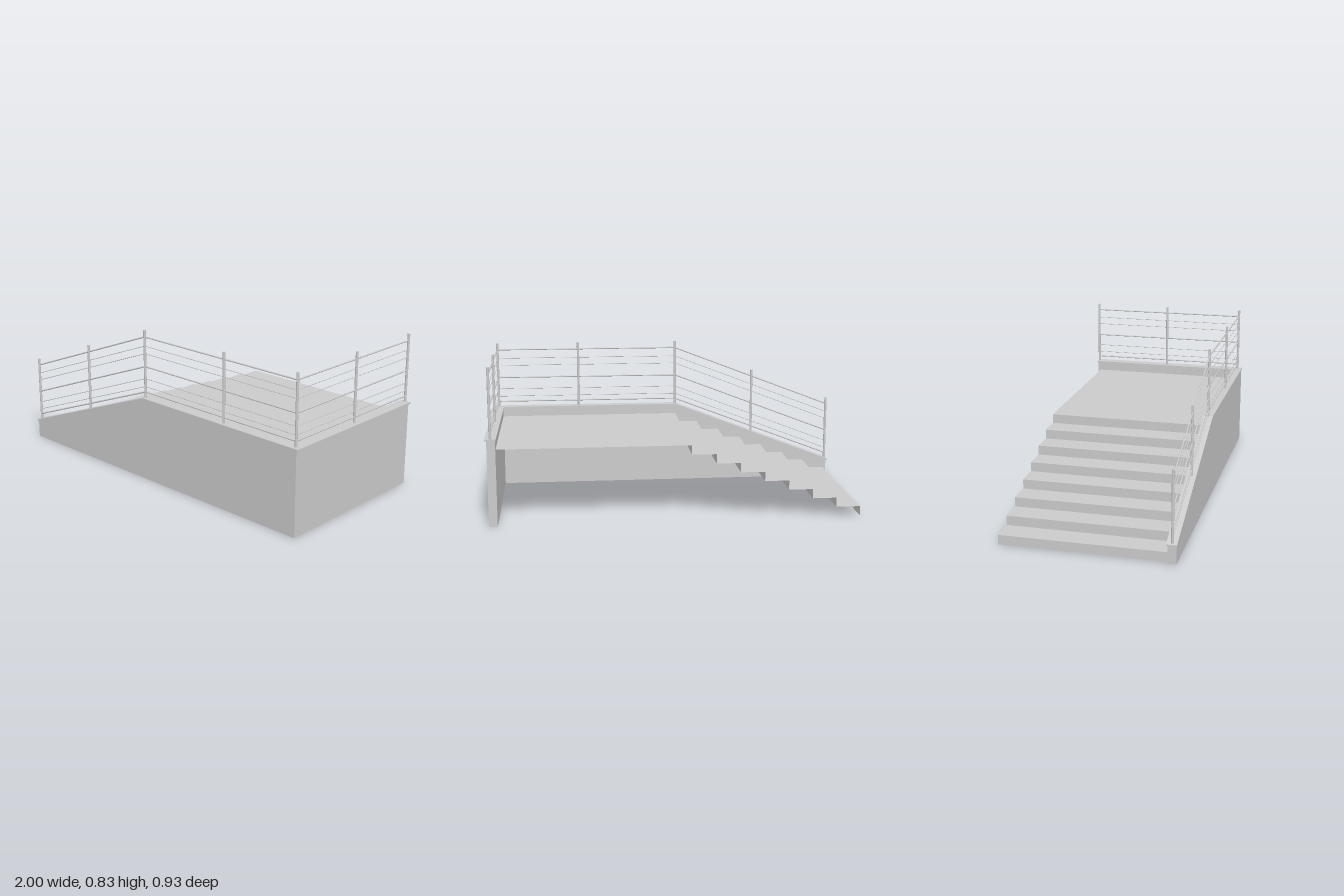
import * as THREE from 'three';

const grey = new THREE.MeshStandardMaterial({ color: 0xcccccc });
const sheet = new THREE.MeshStandardMaterial({ color: 0xcccccc, side: THREE.DoubleSide });

const BEND = -0.067, TOP = 0.462, SLOPE = 0.385; // where the slope meets the landing
const capY = x => TOP + Math.min(0, x - BEND) * SLOPE;
const CAP = 0.008;

function add(group, name, geometry, material = grey) {
  const mesh = new THREE.Mesh(geometry, material);
  mesh.name = name;
  group.add(mesh);
  return mesh;
}

function box(group, name, x0, x1, y0, y1, z0, z1) {
  add(group, name, new THREE.BoxGeometry(x1 - x0, y1 - y0, z1 - z0))
    .position.set((x0 + x1) / 2, (y0 + y1) / 2, (z0 + z1) / 2);
}

// Side profile in x/y, extruded from z0 to z1
function slab(group, name, points, z0, z1) {
  const shape = new THREE.Shape(points.map(p => new THREE.Vector2(...p)));
  const geometry = new THREE.ExtrudeGeometry(shape, { depth: z1 - z0, bevelEnabled: false });
  add(group, name, geometry.translate(0, 0, z0));
}

// Round bar between two points
function bar(group, name, a, b, radius, sides) {
  const dir = b.clone().sub(a);
  const mesh = add(group, name, new THREE.CylinderGeometry(radius, radius, dir.length(), sides));
  mesh.position.copy(a).add(b).multiplyScalar(0.5);
  mesh.quaternion.setFromUnitVectors(new THREE.Vector3(0, 1, 0), dir.normalize());
}

// Thin folded sheet: risers, treads and landing
function stairGeometry(z0, z1) {
  const steps = 8, rise = 0.405 / steps, startX = -0.972;
  const going = (BEND - startX) / (steps - 1);
  const profile = [[startX, 0]];
  for (let i = 0; i < steps; i++) {
    const y = (i + 1) * rise;
    profile.push([startX + i * going, y]);
    profile.push([i < steps - 1 ? startX + (i + 1) * going : 0.945, y]);
  }
  const pos = [];
  for (let i = 0; i < profile.length - 1; i++) {
    const [ax, ay] = profile[i], [bx, by] = profile[i + 1];
    pos.push(ax, ay, z0, ax, ay, z1, bx, by, z1);
    pos.push(ax, ay, z0, bx, by, z1, bx, by, z0);
  }
  const geometry = new THREE.BufferGeometry();
  geometry.setAttribute('position', new THREE.Float32BufferAttribute(pos, 3));
  geometry.computeVertexNormals();
  return geometry;
}

export function createModel() {
  const model = new THREE.Group();
  model.name = 'staircase';

  add(model, 'stairsAndLanding', stairGeometry(-0.445, 0.418), sheet);

  // Parapet walls
  const wallY = x => capY(x) - CAP;
  slab(model, 'frontWall', [[-0.99, 0], [0.99, 0], [0.99, wallY(0.99)],
    [BEND, wallY(BEND)], [-0.99, wallY(-0.99)]], 0.418, 0.462);
  box(model, 'sideWall', 0.945, 0.99, 0, TOP - CAP, -0.462, 0.418);

  // Thin copings over the walls
  slab(model, 'frontCoping', [[-1, wallY(-1)], [BEND, wallY(BEND)], [1, wallY(1)],
    [1, TOP], [BEND, TOP], [-1, capY(-1)]], 0.412, 0.466);
  box(model, 'sideCoping', 0.941, 1, TOP - CAP, TOP, -0.466, 0.412);

  // Railing: posts along the front, then round the corner to the back
  const railing = new THREE.Group();
  railing.name = 'railing';
  model.add(railing);
  const feet = [[-0.985, 0.441], [-0.528, 0.441], [BEND, 0.441], [0.503, 0.441],
    [0.97, 0.441], [0.97, -0.014], [0.97, -0.459]]
    .map(([x, z]) => new THREE.Vector3(x, capY(x), z));
  const raise = (p, h) => p.clone().setY(p.y + h);
  for (const foot of feet) bar(railing, 'post', raise(foot, -0.004), raise(foot, 0.371), 0.007, 16);

  // Height above the coping and radius of each horizontal
  const rails = [[0.334, 0.004], [0.284, 0.0018], [0.242, 0.0018], [0.171, 0.004],
    [0.104, 0.0018], [0.06, 0.0018], [0.03, 0.004]];
  for (const [h, r] of rails) {
    const name = r > 0.003 ? 'rail' : 'wire';
    for (let i = 0; i < feet.length - 1; i++) {
      bar(railing, name, raise(feet[i], h), raise(feet[i + 1], h), r, 10);
    }
  }
  return model;
}
